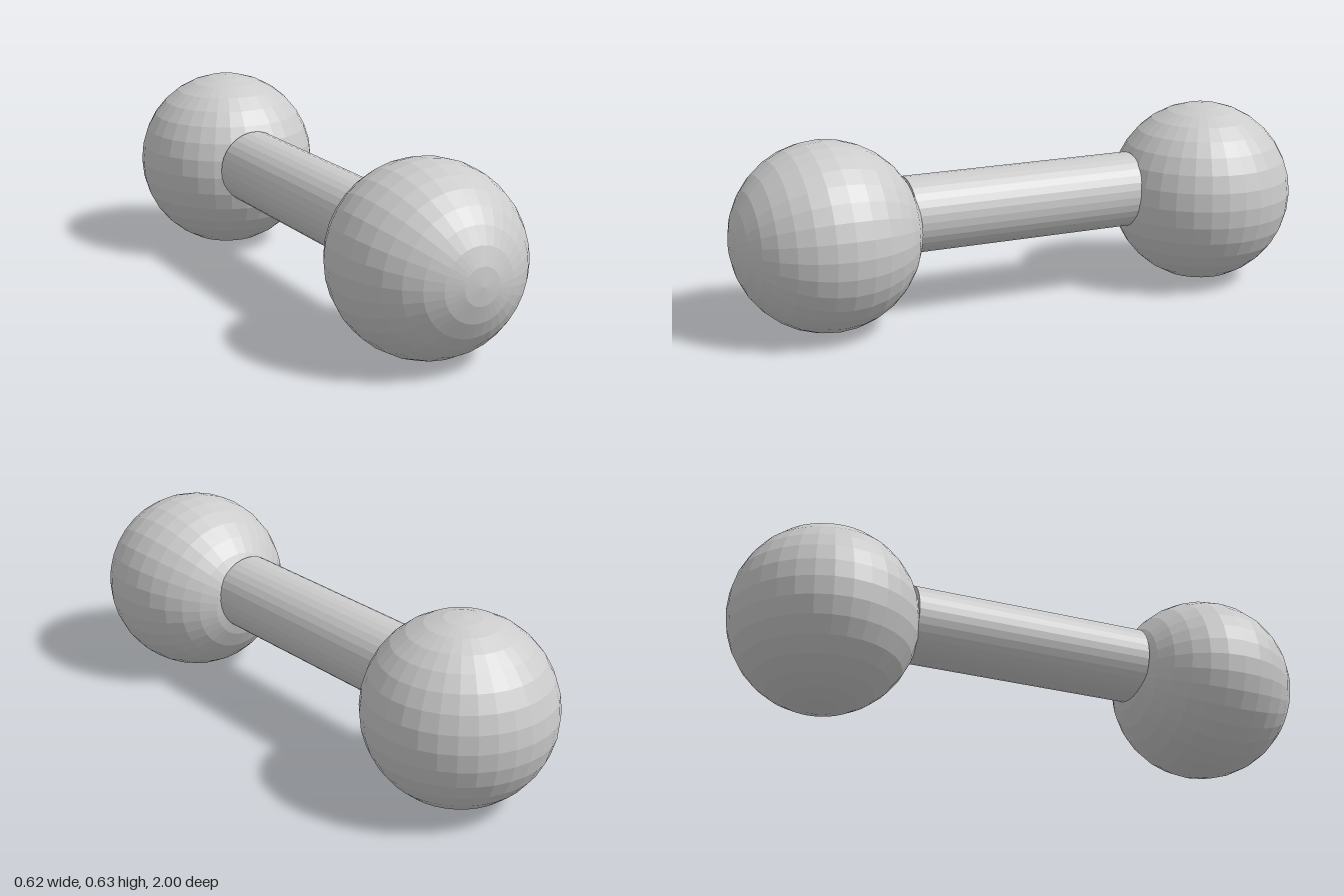
import * as THREE from 'three';

export function createModel() {
  const group = new THREE.Group();
  const material = new THREE.MeshStandardMaterial({ color: 0xcccccc, flatShading: true });

  const add = (name, geometry, x, y, z, tilt = 0) => {
    const mesh = new THREE.Mesh(geometry, material);
    mesh.name = name;
    mesh.position.set(x, y, z);
    mesh.rotation.x = tilt;
    group.add(mesh);
  };

  // End balls: the front one has its poles along z, the back one along y
  const ball = new THREE.SphereGeometry(0.311, 32, 16);
  add('frontBall', ball, 0, 0.311, 0.689, Math.PI / 2);
  add('backBall', ball, 0, 0.315, -0.689);

  // Connecting bar, slightly off the balls' axis
  add('bar', new THREE.CylinderGeometry(0.128, 0.128, 0.826, 32), -0.024, 0.343, -0.003, Math.PI / 2);

  return group;
}
